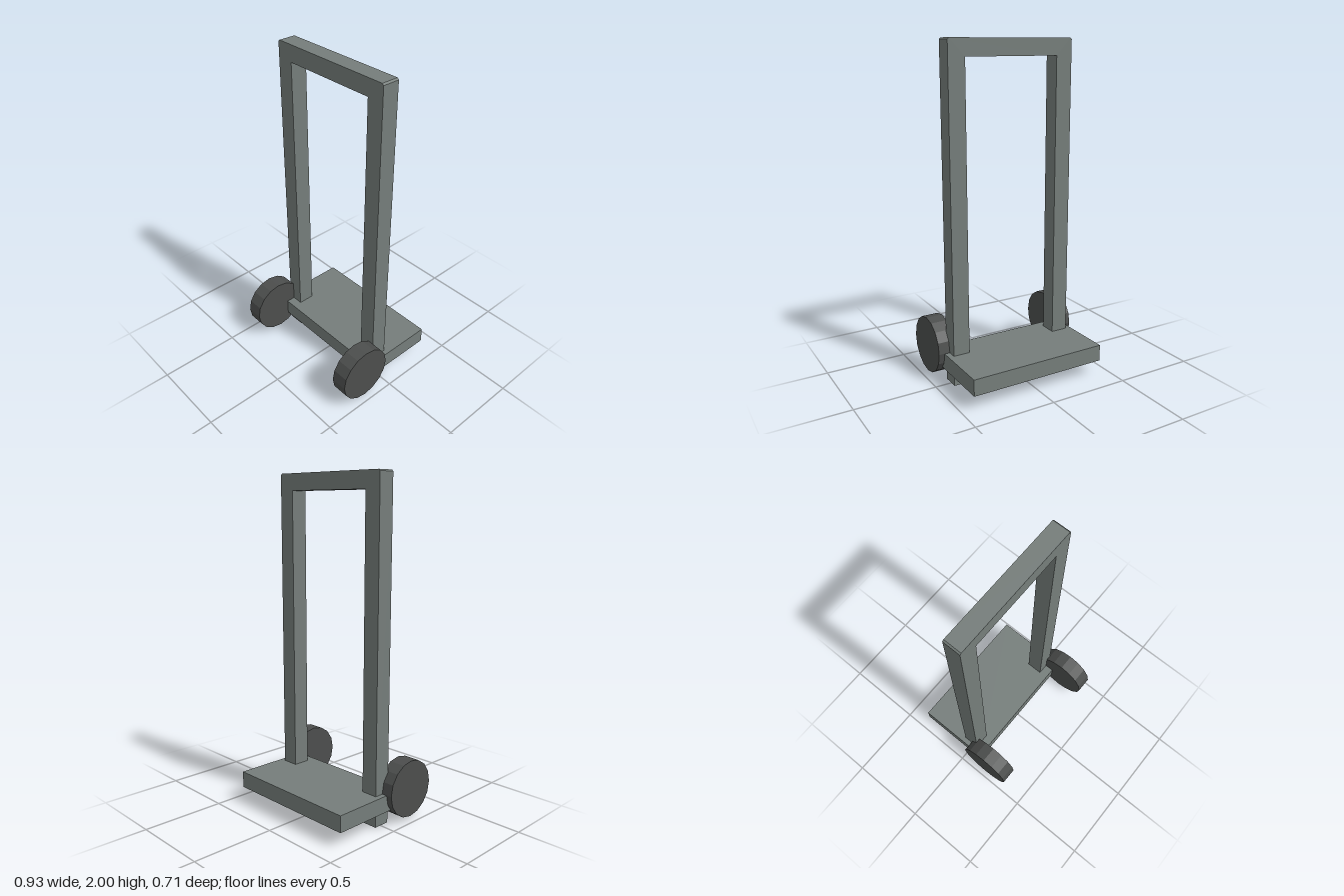
import * as THREE from 'three';

export function createModel() {
  const group = new THREE.Group();
  const frameMat = new THREE.MeshStandardMaterial({ color: 0x757d7a, flatShading: true });
  const wheelMat = new THREE.MeshStandardMaterial({ color: 0x4c4e4d, flatShading: true });

  const add = (name, geometry, material, x, y, z) => {
    const mesh = new THREE.Mesh(geometry, material);
    mesh.name = name;
    mesh.position.set(x, y, z);
    group.add(mesh);
    return mesh;
  };

  // Upright handle frame: an upside-down U with slightly clipped top corners
  const outer = 0.398, inner = 0.295, clip = 0.009;
  const outline = new THREE.Shape([
    [-outer, 0], [-inner, 0], [-inner, 1.9], [inner, 1.9], [inner, 0], [outer, 0],
    [outer, 2 - clip], [outer - clip, 2], [-outer + clip, 2], [-outer, 2 - clip],
  ].map(([x, y]) => new THREE.Vector2(x, y)));
  const frame = new THREE.ExtrudeGeometry(outline, { depth: 0.103, bevelEnabled: false });
  add('handleFrame', frame, frameMat, 0, 0, -0.043);

  // Load platform
  add('platform', new THREE.BoxGeometry(0.862, 0.1, 0.474), frameMat, 0, 0.14, -0.121);

  // Wheels
  const wheel = new THREE.CylinderGeometry(0.172, 0.172, 0.102, 16).rotateZ(Math.PI / 2);
  for (const [name, side] of [['leftWheel', 1], ['rightWheel', -1]]) {
    add(name, wheel, wheelMat, side * 0.416, 0.193, 0.184);
  }

  return group;
}
